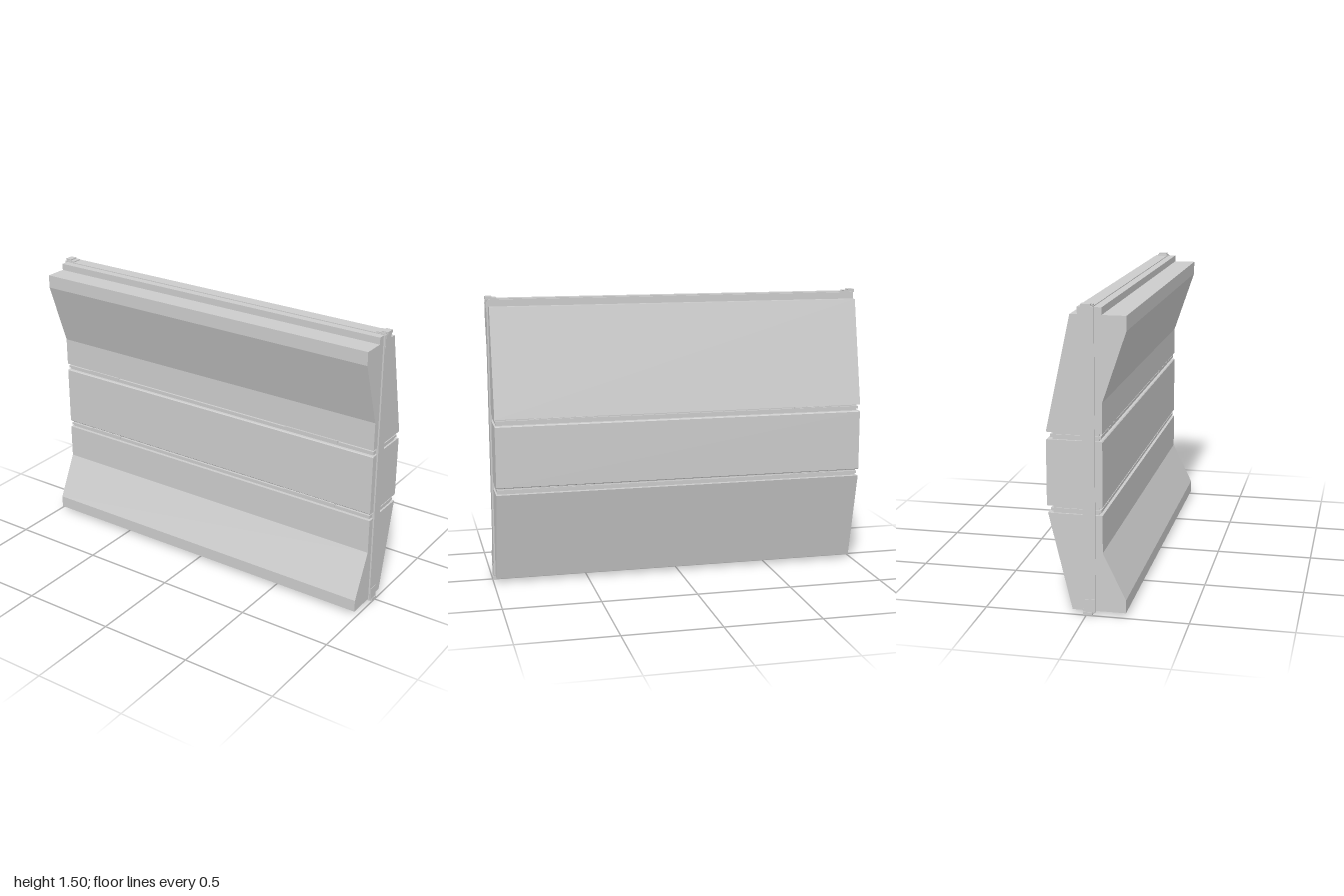
import * as THREE from 'three';

const material = new THREE.MeshStandardMaterial({ color: 0xcccccc, flatShading: true });
const PANEL = 1.97; // panel length along x

export function createModel() {
  const group = new THREE.Group();

  const add = (name, geometry) => {
    const mesh = new THREE.Mesh(geometry, material);
    mesh.name = name;
    group.add(mesh);
    return mesh;
  };

  // Extrudes a [z, y] cross-section along x, centred.
  const bar = (name, points, length = PANEL) => {
    const shape = new THREE.Shape(points.map(([z, y]) => new THREE.Vector2(z, y)));
    const geometry = new THREE.ExtrudeGeometry(shape, { depth: length, bevelEnabled: false });
    geometry.translate(0, 0, -length / 2).rotateY(-Math.PI / 2);
    return add(name, geometry);
  };

  // Box given by its limits on each axis.
  const box = (name, x0, x1, y0, y1, z0, z1) =>
    add(name, new THREE.BoxGeometry(x1 - x0, y1 - y0, z1 - z0)
      .translate((x0 + x1) / 2, (y0 + y1) / 2, (z0 + z1) / 2));

  // Three stacked wall panels
  bar('lowerPanel', [[-0.07, 0.02], [0.192, 0.02], [0.192, 0.085], [0.08, 0.315], [0.08, 0.5], [-0.185, 0.5]]);
  bar('middlePanel', [[-0.19, 0.54], [-0.186, 0.536], [0.076, 0.536], [0.08, 0.54],
    [0.08, 0.856], [0.076, 0.86], [-0.186, 0.86], [-0.19, 0.856]]);
  bar('upperPanel', [[-0.19, 0.896], [0.08, 0.896], [0.08, 1.045], [0.195, 1.385], [0.195, 1.455],
    [-0.07, 1.455]]);
  bar('topRidge', [[-0.035, 1.455], [0.08, 1.455], [0.08, 1.49], [-0.035, 1.49]]);

  // Recessed seams with a thin raised strip in each
  for (const [y0, y1] of [[0.5, 0.536], [0.86, 0.896]]) {
    const mid = (y0 + y1) / 2;
    box('seamCore', -0.975, 0.975, y0, y1, -0.16, 0.062);
    box('seamStrip', -0.98, 0.98, mid - 0.007, mid + 0.007, -0.172, 0.073);
    for (const [x0, x1] of [[-0.83, -0.62], [0.47, 0.78]]) {
      box('seamPatch', x0, x1, mid - 0.002, mid + 0.012, -0.168, 0.076);
    }
  }

  // Thin frame around the panel edges
  for (const side of [-1, 1]) {
    const x = side * 0.9865;
    box('sidePost', x - 0.0065, x + 0.0065, 0.015, 1.49, -0.015, 0.045);
    for (const top of [false, true]) {
      // Corner fitting: upright plate, foot and end tab
      const flip = (a, b) => (top ? [1.505 - b, 1.505 - a] : [a, b]);
      const along = (a, b) => (side > 0 ? [a, b] : [-b, -a]);
      box('cornerPlate', ...along(0.975, 0.996), ...flip(0.01, 0.08), -0.015, 0.04);
      box('cornerFoot', ...along(0.94, 0.99), ...flip(0.006, 0.03), -0.018, 0.035);
      box('cornerTab', ...along(0.965, 1), ...flip(0, 0.016), -0.016, 0.03);
    }
  }
  box('bottomRail', -0.97, 0.97, 0.012, 0.03, -0.015, 0.045);
  box('topRail', -0.97, 0.97, 1.47, 1.494, -0.018, 0.04);

  return group;
}
